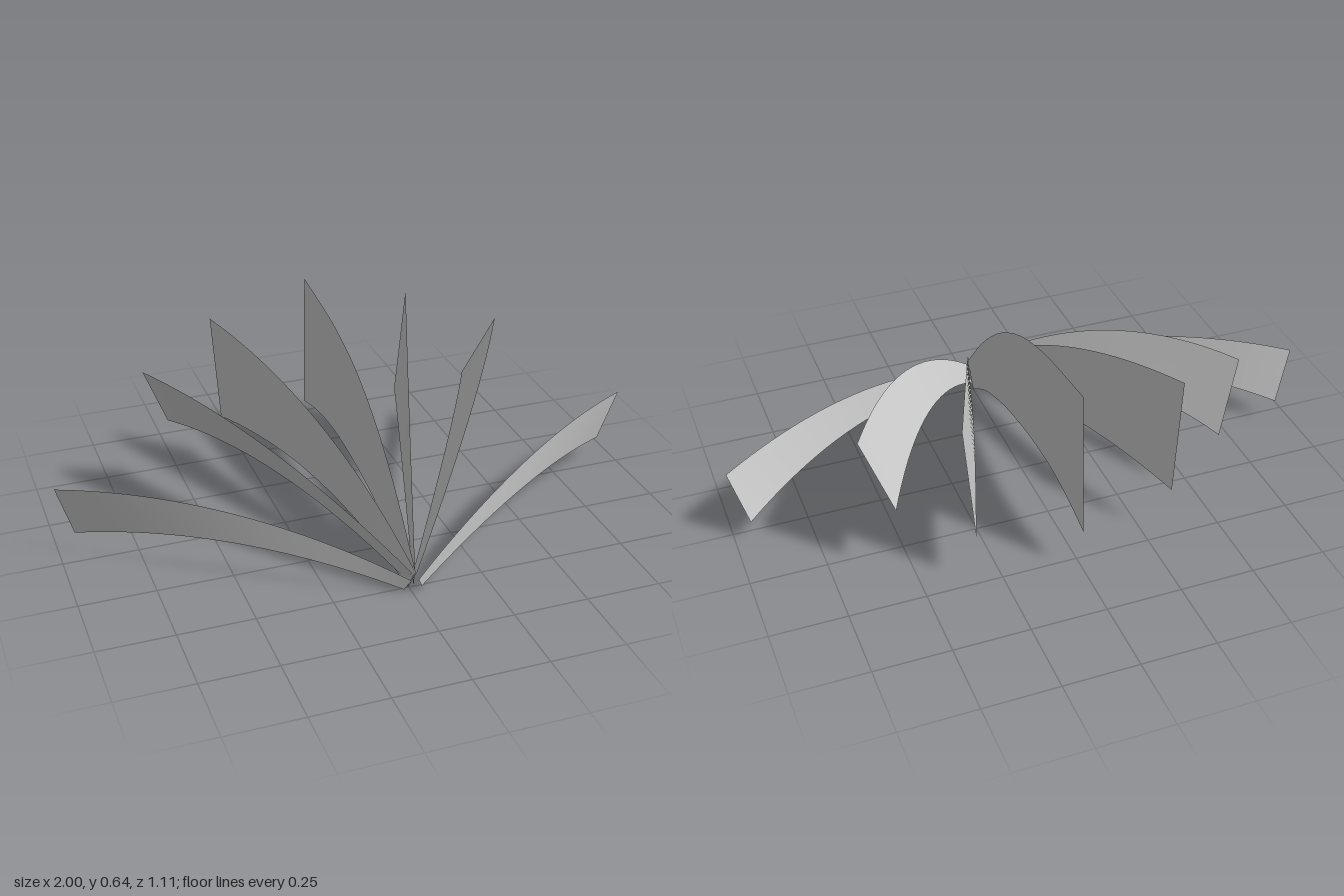
import * as THREE from 'three';

const SEGMENTS = 20;
const v = (p) => new THREE.Vector3(...p);

// Thin sheet stretched between an upper and a lower edge curve
function blade(upper, lower, side, material, name) {
  const positions = [], index = [];
  for (let i = 0; i <= SEGMENTS; i++) {
    const t = i / SEGMENTS;
    for (const curve of [upper, lower]) {
      const p = curve.getPoint(t);
      positions.push(p.x * side, p.y, p.z);
    }
    if (i < SEGMENTS) {
      const a = i * 2;
      // Mirrored sheets reverse their corner order
      if (side > 0) index.push(a, a + 1, a + 2, a + 1, a + 3, a + 2);
      else index.push(a, a + 2, a + 1, a + 1, a + 2, a + 3);
    }
  }
  const geometry = new THREE.BufferGeometry();
  geometry.setAttribute('position', new THREE.Float32BufferAttribute(positions, 3));
  geometry.setIndex(index);
  geometry.computeVertexNormals();
  const mesh = new THREE.Mesh(geometry, material);
  mesh.name = name;
  return mesh;
}

const arc = (a, b, c) => new THREE.QuadraticBezierCurve3(v(a), v(b), v(c));
const spline = (pts) => new THREE.CatmullRomCurve3(pts.map(([z, y]) => new THREE.Vector3(0, y, z)), false, 'centripetal');

// Root, control and tip of both edges of each paired blade
const PAIRS = [
  {
    name: 'InnerBlade',
    upper: [[0, 0.09, 0.55], [0.14, 0.5, 0.12], [0.36, 0.57, -0.465]],
    lower: [[0.01, 0.012, 0.515], [0.14, 0.26, 0.06], [0.33, 0.175, -0.487]],
  },
  {
    name: 'MiddleBlade',
    upper: [[0.01, 0.085, 0.545], [0.36, 0.48, 0.21], [0.637, 0.488, -0.302]],
    lower: [[0, 0.02, 0.51], [0.31, 0.355, 0.12], [0.548, 0.257, -0.372]],
  },
  {
    name: 'OuterBlade',
    upper: [[0.012, 0.06, 0.553], [0.5, 0.333, 0.293], [1, 0.265, -0.025]],
    lower: [[0.03, 0.02, 0.535], [0.508, 0.21, 0.284], [0.945, 0.077, -0.052]],
  },
];

export function createModel() {
  const group = new THREE.Group();
  group.name = 'bladeFan';
  const grey = new THREE.MeshStandardMaterial({ color: 0xcccccc, side: THREE.DoubleSide });
  grey.name = 'light grey';

  // Upright centre blade
  group.add(blade(
    spline([[0.555, 0.09], [0.38, 0.28], [0.2, 0.43], [0, 0.54], [-0.2, 0.6], [-0.3, 0.617], [-0.52, 0.645]]),
    spline([[0.5, 0], [0.37, 0.08], [0.25, 0.125], [0.1, 0.165], [-0.2, 0.2], [-0.4, 0.185], [-0.55, 0.15]]),
    1, grey, 'centreBlade',
  ));

  // Three mirrored pairs fanning outward
  for (const { name, upper, lower } of PAIRS) {
    for (const side of [1, -1]) {
      group.add(blade(arc(...upper), arc(...lower), side, grey, (side > 0 ? 'left' : 'right') + name));
    }
  }
  return group;
}
